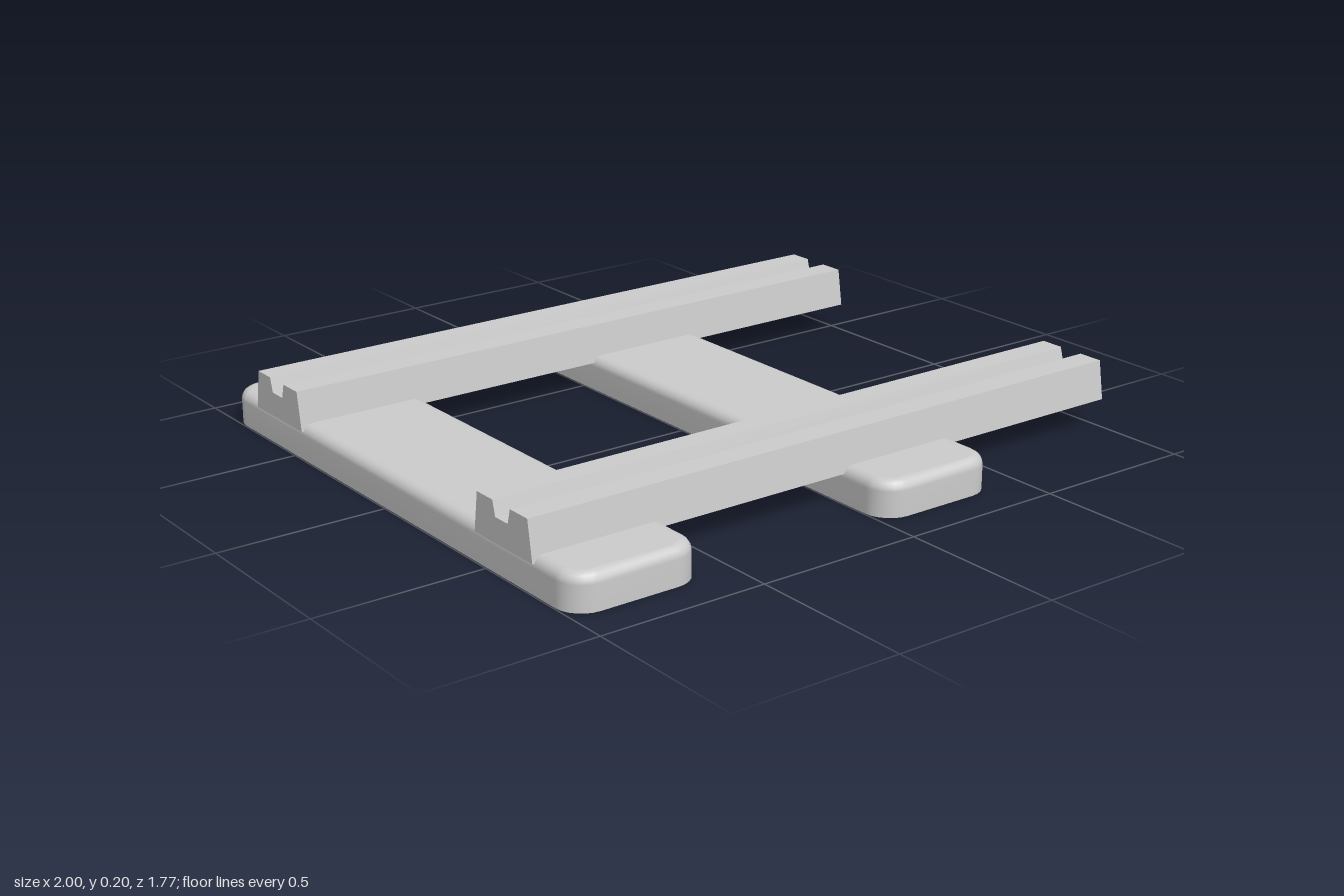
import * as THREE from 'three';

const material = new THREE.MeshStandardMaterial({ color: 0xcccccc, side: THREE.DoubleSide });

// Rounded rectangle outline in plan, counter-clockwise in (x, z)
function roundedOutline(halfX, halfZ, radius, steps = 6) {
  const points = [];
  [[1, 1], [-1, 1], [-1, -1], [1, -1]].forEach(([sx, sz], corner) => {
    for (let i = 0; i <= steps; i++) {
      const a = (corner + i / steps) * Math.PI / 2;
      points.push(new THREE.Vector2(
        sx * (halfX - radius) + Math.cos(a) * radius,
        sz * (halfZ - radius) + Math.sin(a) * radius));
    }
  });
  return points;
}

// Hollow sleeper: upright walls, rounded top edge, flat top and open underside
function sleeperGeometry() {
  const halfX = 0.198, halfZ = 0.885, radius = 0.08, height = 0.104, edge = 0.03;
  const levels = [[0, 0]];
  for (let i = 0; i <= 4; i++) {
    const a = i / 4 * Math.PI / 2;
    levels.push([height - edge + Math.sin(a) * edge, edge * (1 - Math.cos(a))]);
  }
  const positions = [], indices = [];
  let ring;
  for (const [y, inset] of levels) {
    ring = roundedOutline(halfX - inset, halfZ - inset, radius - inset);
    ring.forEach(p => positions.push(p.x, y, p.y));
  }
  const n = ring.length;
  for (let k = 0; k < levels.length - 1; k++) {
    for (let i = 0; i < n; i++) {
      const a = k * n + i, b = k * n + (i + 1) % n;
      indices.push(a, a + n, b, b, a + n, b + n);
    }
  }
  // Flat top
  const top = (levels.length - 1) * n;
  for (const [a, b, c] of THREE.ShapeUtils.triangulateShape(ring, [])) {
    indices.push(top + a, top + c, top + b);
  }
  const geometry = new THREE.BufferGeometry();
  geometry.setAttribute('position', new THREE.Float32BufferAttribute(positions, 3));
  geometry.setIndex(indices);
  geometry.computeVertexNormals();
  return geometry;
}

// Grooved rail with closed ends and an open underside
function railGeometry() {
  const bottom = 0.085, top = 0.2, groove = 0.157;
  const profile = [
    [0.131, bottom], [0.113, top], [0.036, top], [0.024, groove],
    [-0.032, groove], [-0.044, top], [-0.115, top], [-0.131, bottom],
  ].map(([z, y]) => new THREE.Vector2(-z, y));
  const solid = new THREE.ExtrudeGeometry(new THREE.Shape(profile), { depth: 2, bevelEnabled: false });
  solid.translate(0, 0, -1).rotateY(Math.PI / 2);

  // Leave out the faces lying in the bottom plane
  const p = solid.getAttribute('position'), kept = [];
  for (let i = 0; i < p.count; i += 3) {
    const corners = [i, i + 1, i + 2];
    if (corners.every(j => Math.abs(p.getY(j) - bottom) < 1e-4)) continue;
    corners.forEach(j => kept.push(p.getX(j), p.getY(j), p.getZ(j)));
  }
  const geometry = new THREE.BufferGeometry();
  geometry.setAttribute('position', new THREE.Float32BufferAttribute(kept, 3));
  geometry.computeVertexNormals();
  return geometry;
}

export function createModel() {
  const group = new THREE.Group();
  group.name = 'railTrack';
  const add = (name, geometry, x, z) => {
    const mesh = new THREE.Mesh(geometry, material);
    mesh.name = name;
    mesh.position.set(x, 0, z);
    group.add(mesh);
  };

  const sleeper = sleeperGeometry();
  add('rightSleeper', sleeper, -0.798, 0);
  add('leftSleeper', sleeper, 0.202, 0);

  const rail = railGeometry();
  add('frontRail', rail, 0, 0.583);
  add('backRail', rail, 0, -0.583);
  return group;
}
